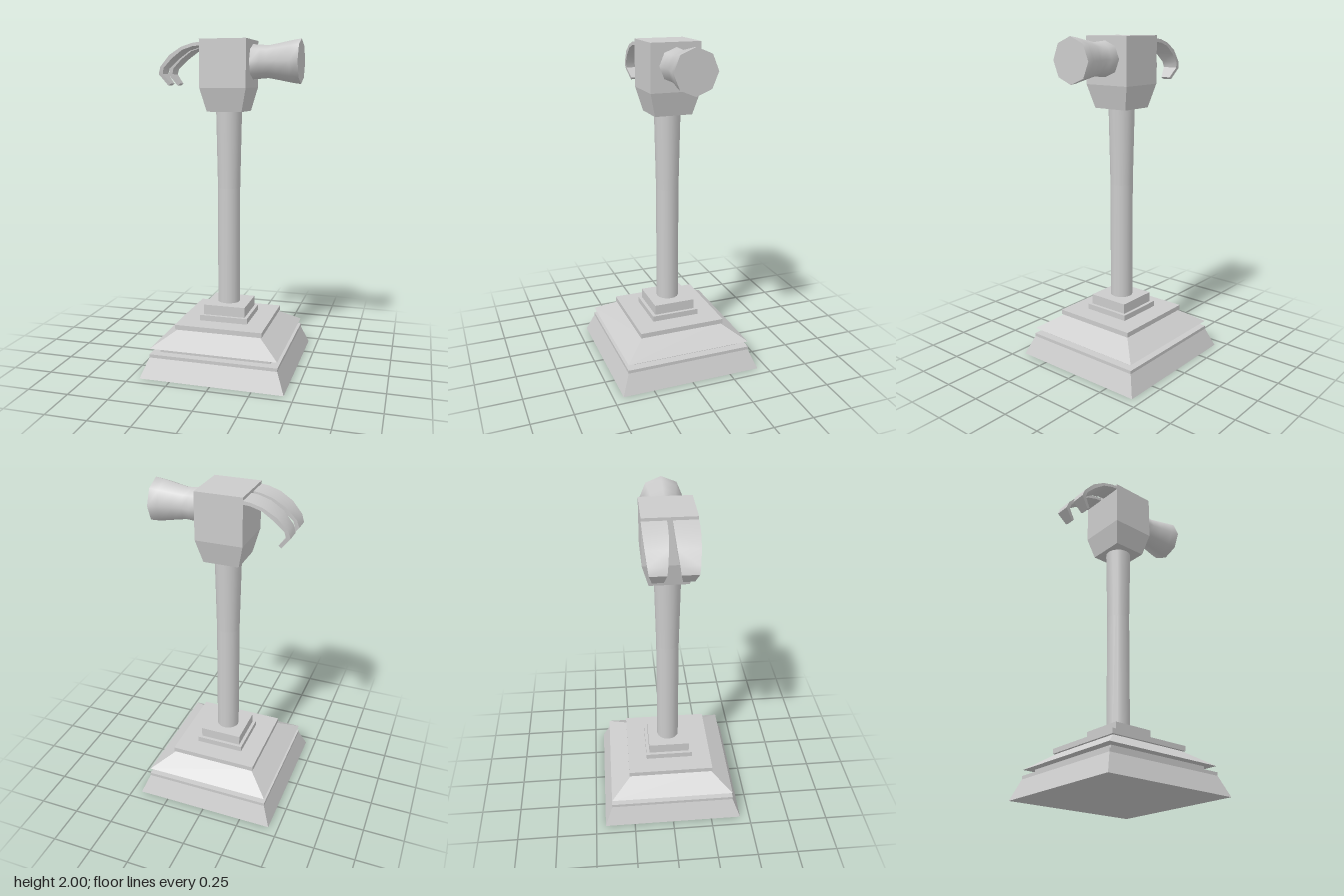
import * as THREE from 'three';
import { toCreasedNormals } from 'three/addons/utils/BufferGeometryUtils.js';

const flat = new THREE.MeshStandardMaterial({ color: 0xcccccc, flatShading: true });
const smooth = new THREE.MeshStandardMaterial({ color: 0xcccccc });

function add(parent, name, geometry, material) {
  const mesh = new THREE.Mesh(geometry, material);
  mesh.name = name;
  parent.add(mesh);
  return mesh;
}

// Square block with half widths h0 at y0 and h1 at y1
function tier(parent, name, h0, h1, y0, y1) {
  const g = new THREE.CylinderGeometry(h1 * Math.SQRT2, h0 * Math.SQRT2, y1 - y0, 4, 1, false, Math.PI / 4);
  g.translate(0, (y0 + y1) / 2, 0);
  return add(parent, name, g, flat);
}

// Solid from four-cornered sections: [outer x, outer y, inner x, inner y, near z, far z]
function clawGeometry(sections, side) {
  const pos = [];
  const index = [];
  for (const [ox, oy, ix, iy, zn, zf] of sections) {
    pos.push(ox, oy, zn * side, ox, oy, zf * side, ix, iy, zf * side, ix, iy, zn * side);
  }
  const quad = (a, b, c, d) => (side > 0 ? index.push(a, b, c, a, c, d) : index.push(a, c, b, a, d, c));
  for (let i = 0; i < sections.length - 1; i++) {
    for (let k = 0; k < 4; k++) {
      const a = i * 4 + k;
      const b = i * 4 + ((k + 1) % 4);
      quad(a, a + 4, b + 4, b);
    }
  }
  const e = (sections.length - 1) * 4;
  quad(0, 1, 2, 3);
  quad(e, e + 3, e + 2, e + 1);
  const g = new THREE.BufferGeometry();
  g.setAttribute('position', new THREE.Float32BufferAttribute(pos, 3));
  g.setIndex(index);
  return toCreasedNormals(g, 0.7);
}

export function createModel() {
  const model = new THREE.Group();
  model.name = 'hammerOnPedestal';

  // Stepped square pedestal
  const base = new THREE.Group();
  base.name = 'pedestal';
  model.add(base);
  tier(base, 'plinth', 0.44, 0.392, 0, 0.12);
  tier(base, 'plinthRim', 0.392, 0.392, 0.12, 0.14);
  tier(base, 'recess', 0.34, 0.34, 0.14, 0.175);
  tier(base, 'slopedTier', 0.39, 0.255, 0.175, 0.265);
  tier(base, 'upperSlab', 0.27, 0.27, 0.265, 0.295);
  tier(base, 'lowerCollar', 0.15, 0.15, 0.295, 0.33);
  tier(base, 'upperCollar', 0.13, 0.13, 0.33, 0.392);

  // Straight shaft inside a sleeve that widens towards the head
  const shaft = new THREE.CylinderGeometry(0.069, 0.069, 1.22, 16);
  shaft.translate(-0.004, 1.0, 0);
  add(model, 'handle', shaft, smooth);
  const sleeve = new THREE.CylinderGeometry(0.079, 0.067, 0.57, 16);
  sleeve.translate(-0.004, 1.305, 0);
  add(model, 'handleSleeve', sleeve, smooth);

  // Head block, tapered below
  const head = new THREE.Group();
  head.name = 'head';
  model.add(head);
  for (const part of [
    tier(head, 'headBlock', 0.152, 0.152, 1.72, 2),
    tier(head, 'headTaper', 0.115, 0.152, 1.58, 1.72),
  ]) {
    part.scale.x = 0.925;
    part.position.x = -0.003;
  }

  // Octagonal striking face with a waisted neck
  const profile = [[0, 0.143], [0.102, 0.143], [0.098, 0.2], [0.095, 0.24], [0.106, 0.3],
    [0.122, 0.38], [0.13, 0.432], [0, 0.432]].map(([r, y]) => new THREE.Vector2(r, y));
  const poll = toCreasedNormals(new THREE.LatheGeometry(profile, 8), 0.9);
  poll.rotateZ(-Math.PI / 2);
  poll.translate(0, 1.871, 0);
  add(head, 'strikingFace', poll, smooth);

  // Pair of curved claws
  const sections = [
    [-0.13, 1.984, -0.13, 1.963, 0.015, 0.152],
    [-0.185, 1.977, -0.183, 1.958, 0.015, 0.152],
    [-0.254, 1.956, -0.248, 1.938, 0.016, 0.15],
    [-0.33, 1.91, -0.314, 1.89, 0.021, 0.145],
    [-0.39, 1.843, -0.37, 1.836, 0.031, 0.136],
    [-0.404, 1.8, -0.378, 1.802, 0.036, 0.13],
    [-0.35, 1.732, -0.334, 1.744, 0.05, 0.112],
  ];
  add(head, 'leftClaw', clawGeometry(sections, 1), smooth);
  add(head, 'rightClaw', clawGeometry(sections, -1), smooth);

  return model;
}
